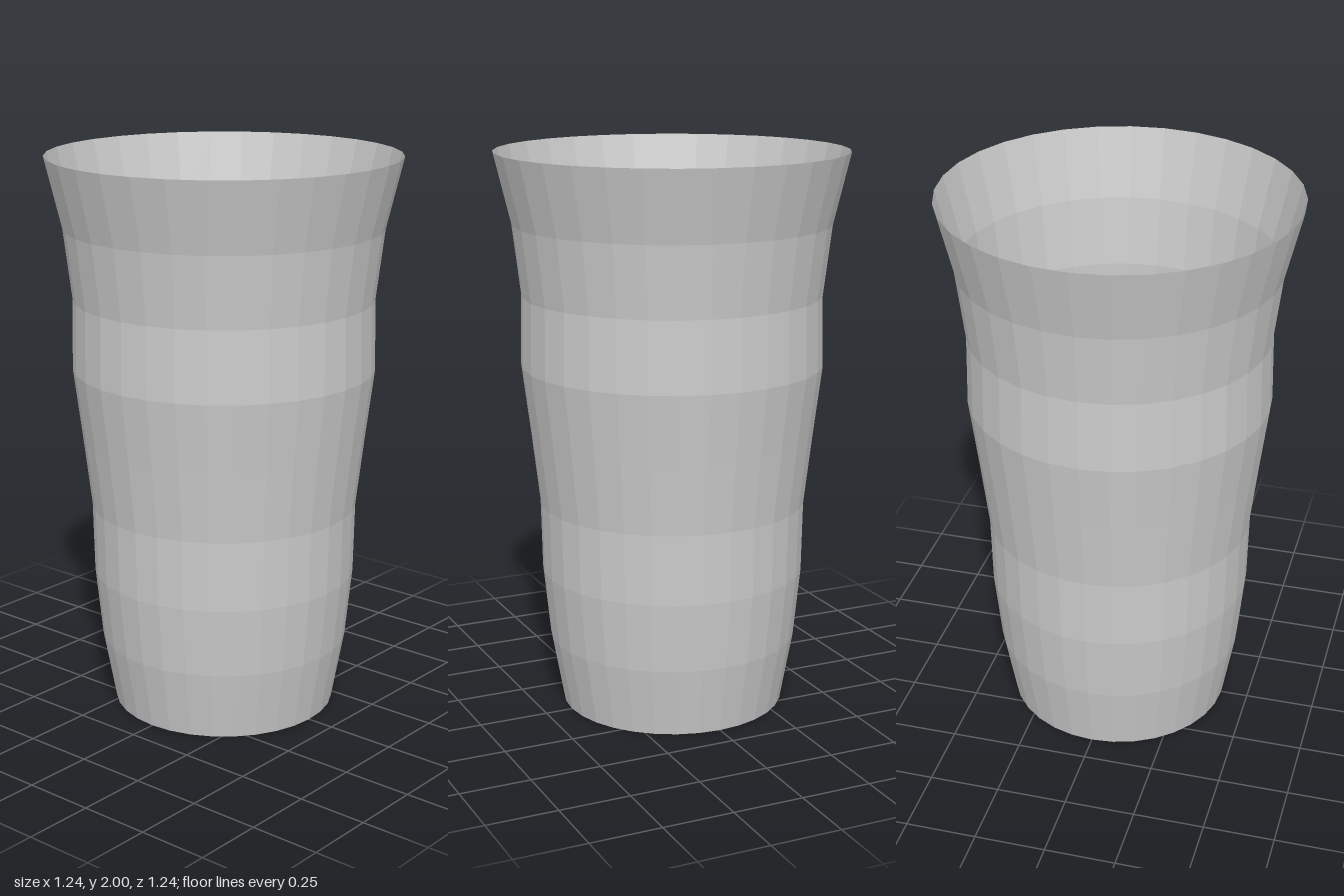
import * as THREE from 'three';

// Wall radius at evenly spaced heights, from the foot to the flared lip
const RADII = [0.4, 0.445, 0.47, 0.475, 0.504, 0.535, 0.53, 0.56, 0.62];
const HEIGHT = 2;
const SIDES = 32;

export function createModel() {
  const group = new THREE.Group();
  group.name = 'vase';

  const profile = RADII.map(
    (r, i) => new THREE.Vector2(r, (HEIGHT * i) / (RADII.length - 1))
  );

  // Thin faceted wall, open at both ends
  const wall = new THREE.Mesh(
    new THREE.LatheGeometry(profile, SIDES),
    new THREE.MeshStandardMaterial({
      color: 0xcccccc,
      flatShading: true,
      side: THREE.DoubleSide,
    })
  );
  wall.name = 'vaseWall';
  group.add(wall);

  return group;
}
